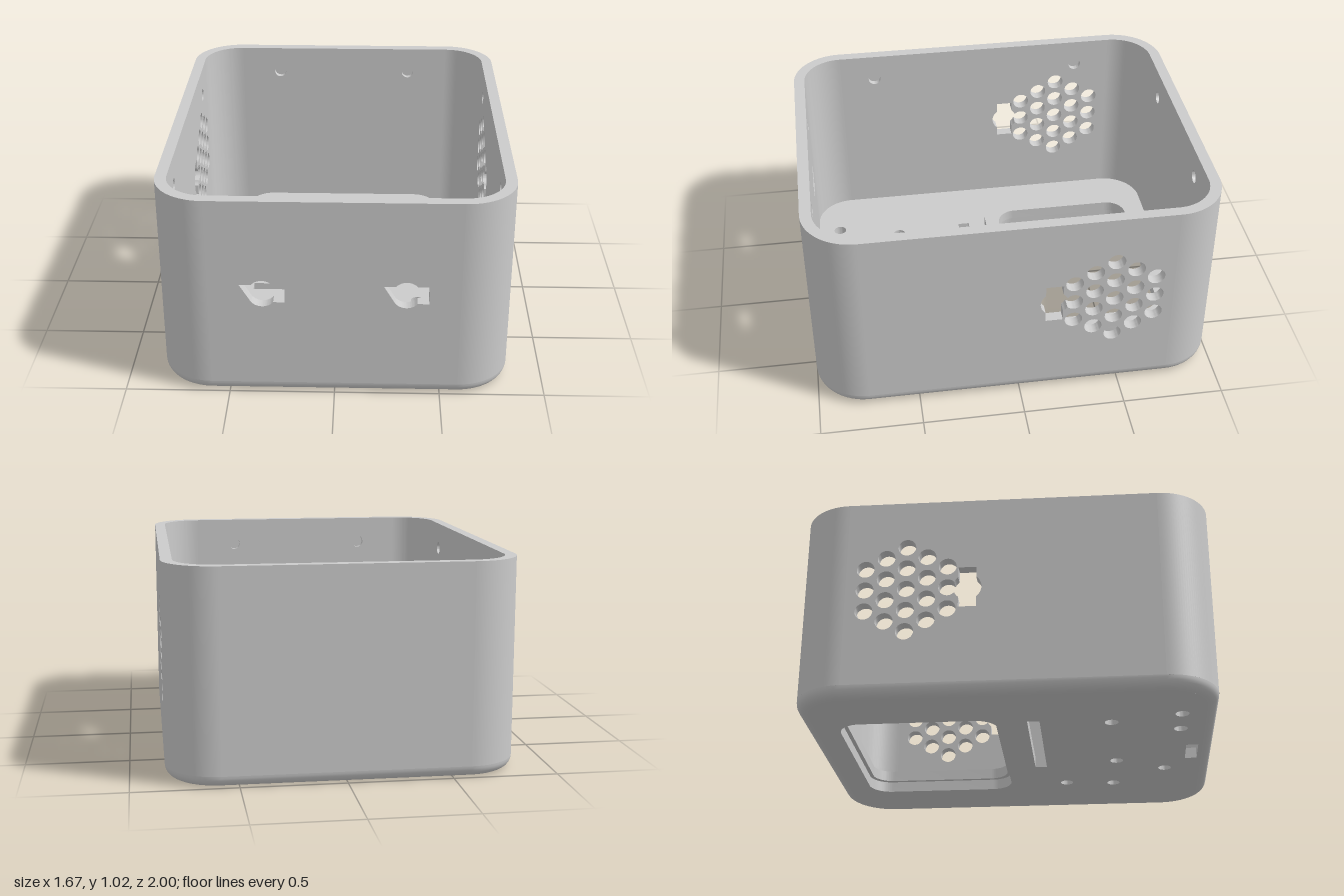
import * as THREE from 'three';
import { toCreasedNormals } from 'three/addons/utils/BufferGeometryUtils.js';

const W = 0.835, D = 1, H = 1.02;   // half width, half depth, height
const R = 0.25, T = 0.055;          // corner radius; wall, floor and bottom rounding
const SKIN = 0.025;                 // wall left behind the blind screw holes
const PI = Math.PI;
const material = new THREE.MeshStandardMaterial({ color: 0xcccccc });

function add(parent, name, geometry) {
  const mesh = new THREE.Mesh(geometry, material);
  mesh.name = name;
  parent.add(mesh);
  return mesh;
}

function extrude(shape, depth) {
  const g = new THREE.ExtrudeGeometry(shape, { depth, bevelEnabled: false, curveSegments: 16 });
  return toCreasedNormals(g, 0.6);
}

// Horizontal slab: the shape is drawn in (x, z) and fills y0..y1
function slab(shape, y0, y1) {
  return extrude(shape, y1 - y0).rotateX(PI / 2).translate(0, y1, 0);
}

function roundRect(x0, y0, x1, y1, r, Type = THREE.Path) {
  const p = new Type();
  p.moveTo(x0 + r, y0);
  if (r === 0) {
    return p.lineTo(x1, y0).lineTo(x1, y1).lineTo(x0, y1).lineTo(x0, y0);
  }
  p.absarc(x1 - r, y0 + r, r, -PI / 2, 0, false);
  p.absarc(x1 - r, y1 - r, r, 0, PI / 2, false);
  p.absarc(x0 + r, y1 - r, r, PI / 2, PI, false);
  p.absarc(x0 + r, y0 + r, r, PI, 1.5 * PI, false);
  return p;
}

const circle = (x, y, r) => new THREE.Path().absarc(x, y, r, 0, 2 * PI, false);

// Horizontal slot with a round bulge above and below
function frontSlot(x) {
  const y = 0.545, a = 0.85;
  return new THREE.Path().moveTo(x - 0.105, y - 0.045)
    .absarc(x, y, 0.068, -PI / 2 - a, -PI / 2 + a, false)
    .lineTo(x + 0.105, y - 0.045).lineTo(x + 0.105, y + 0.045)
    .absarc(x, y, 0.068, PI / 2 - a, PI / 2 + a, false)
    .lineTo(x - 0.105, y + 0.045);
}

// Vertical slot whose bulge runs into the middle vent hole of the first column
function sideSlot() {
  const x = 0.165, y = 0.545, a = 0.886;
  return new THREE.Path().moveTo(0.122, 0.44).lineTo(0.208, 0.44)
    .absarc(x, y, 0.068, -a, -0.42, false)
    .absarc(0.26, y, 0.043, -(PI - 0.7), PI - 0.7, false)
    .absarc(x, y, 0.068, 0.42, a, false)
    .lineTo(0.208, 0.65).lineTo(0.122, 0.65)
    .absarc(x, y, 0.068, PI - a, PI + a, false);
}

function sideOpenings() {
  const holes = [sideSlot()];
  [3, 4, 5, 4, 3].forEach((count, col) => {
    for (let i = 0; i < count; i++) {
      if (col === 0 && i === 1) continue; // joined with the slot
      holes.push(circle(0.26 + col * 0.099, 0.545 + (i - (count - 1) / 2) * 0.1125, 0.043));
    }
  });
  return holes;
}

const mirrored = (path) =>
  new THREE.Path(path.getPoints(16).map((p) => new THREE.Vector2(-p.x, p.y)));

// Straight wall in two layers; only the inner one has the screw holes
function wall(name, half, distance, angle, openings, screwX) {
  const group = new THREE.Group();
  group.name = name;
  const screws = [-screwX, screwX].map((x) => circle(x, 0.88, 0.033));
  const layers = [
    ['outerSkin', distance - SKIN, SKIN, openings],
    ['innerSkin', distance - T, T - SKIN, [...openings, ...screws]],
  ];
  for (const [layer, z, depth, holes] of layers) {
    const shape = roundRect(-half, T, half, H, 0, THREE.Shape);
    shape.holes.push(...holes);
    add(group, layer, extrude(shape, depth).translate(0, 0, z));
  }
  group.rotation.y = angle;
  return group;
}

// Rounded lower edge, swept around the outline
function bottomEdge() {
  const pos = [], idx = [], rows = 8, seg = 16;
  const n = 4 * (seg + 1);
  for (let j = 0; j <= rows; j++) {
    const t = (j / rows) * PI / 2;
    const r = R - T + T * Math.sin(t), y = T * (1 - Math.cos(t));
    for (let c = 0; c < 4; c++) {
      const sx = c === 0 || c === 3 ? 1 : -1, sz = c < 2 ? 1 : -1;
      for (let i = 0; i <= seg; i++) {
        const a = (c + i / seg) * PI / 2;
        pos.push(sx * (W - R) + r * Math.cos(a), y, sz * (D - R) + r * Math.sin(a));
      }
    }
  }
  for (let j = 0; j < rows; j++) {
    for (let i = 0; i < n; i++) {
      const a = j * n + i, b = j * n + (i + 1) % n;
      idx.push(a, a + n, b, b, a + n, b + n);
    }
  }
  const g = new THREE.BufferGeometry();
  g.setAttribute('position', new THREE.Float32BufferAttribute(pos, 3));
  g.setIndex(idx);
  g.computeVertexNormals();
  return g;
}

export function createModel() {
  const model = new THREE.Group();
  model.name = 'enclosure';

  // Floor with window, slots and small round holes
  const floor = roundRect(-W + T, -D + T, W - T, D - T, R - T, THREE.Shape);
  floor.holes.push(
    roundRect(-0.49, -0.83, 0.49, -0.055, 0.11),
    roundRect(-0.46, 0.09, 0.165, 0.15, 0),
    roundRect(-0.095, 0.865, 0.09, 0.925, 0),
  );
  const drills = [[0.415, 0.245], [-0.42, 0.495], [0.1, 0.515], [0.435, 0.495],
    [0.225, 0.765], [-0.5, 0.83], [-0.315, 0.83]];
  for (const [x, z] of drills) floor.holes.push(circle(x, z, 0.033));
  add(model, 'floor', slab(floor, 0, T));
  add(model, 'bottomEdge', bottomEdge());

  // Raised rim around the window
  const rim = roundRect(-0.55, -0.89, 0.55, 0, 0.13, THREE.Shape);
  rim.holes.push(roundRect(-0.47, -0.81, 0.47, -0.075, 0.1));
  add(model, 'windowRim', slab(rim, T, 2 * T));

  // Walls
  const vents = sideOpenings();
  model.add(
    wall('frontWall', W - R, D, 0, [frontSlot(-0.333), frontSlot(0.333)], 0.37),
    wall('backWall', W - R, D, PI, [], 0.37),
    wall('leftWall', D - R, W, PI / 2, vents, 0.565),
    wall('rightWall', D - R, W, -PI / 2, vents.map(mirrored), 0.565),
  );

  // Rounded corner posts
  for (let c = 0; c < 4; c++) {
    const a = c * PI / 2;
    const cx = (c === 0 || c === 3 ? 1 : -1) * (W - R), cz = (c < 2 ? 1 : -1) * (D - R);
    const ring = new THREE.Shape();
    ring.absarc(cx, cz, R, a, a + PI / 2, false);
    ring.absarc(cx, cz, R - T, a + PI / 2, a, true);
    add(model, 'corner', slab(ring, T, H));
  }
  return model;
}
